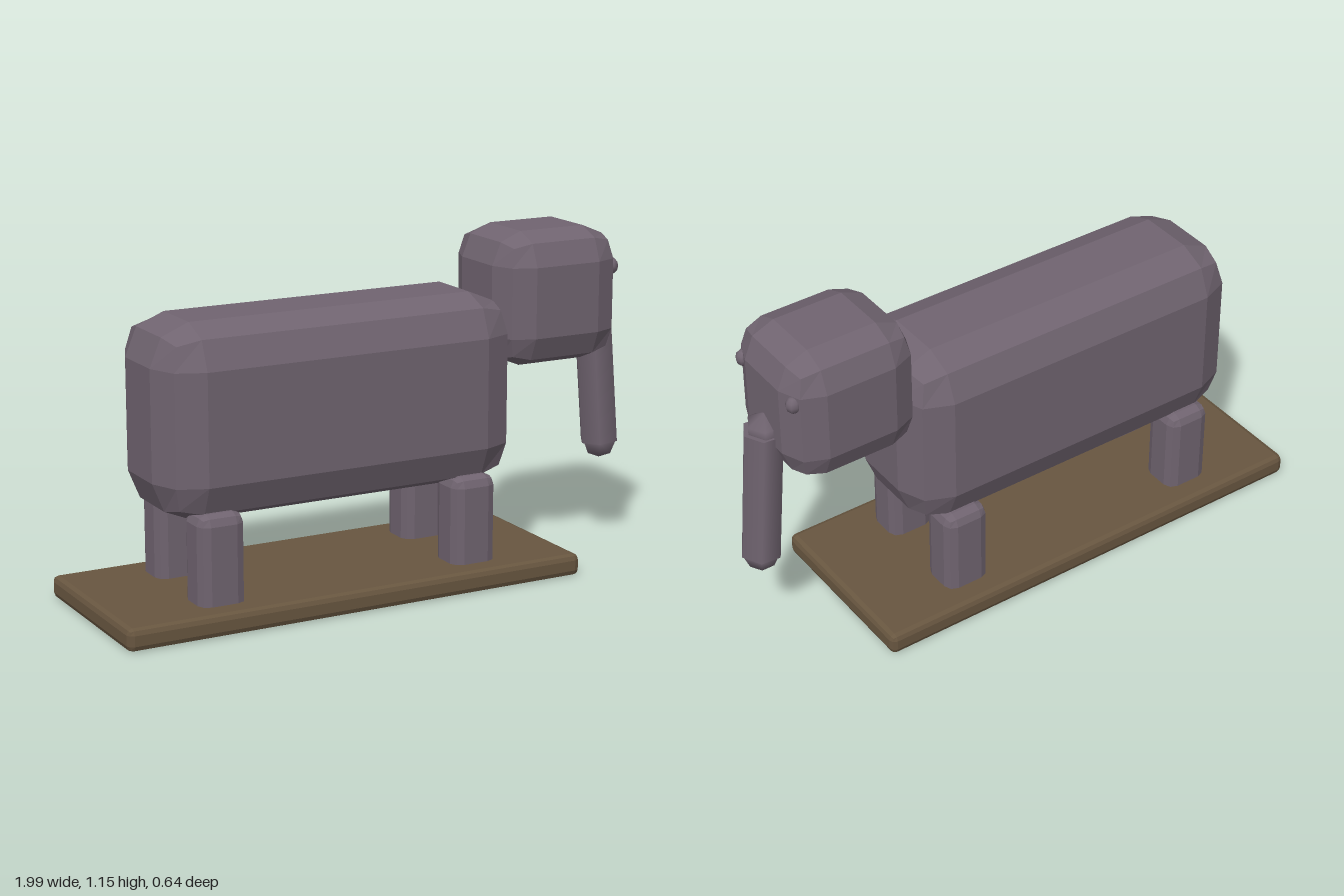
import * as THREE from 'three';
import { RoundedBoxGeometry } from 'three/addons/geometries/RoundedBoxGeometry.js';

export function createModel() {
  const group = new THREE.Group();
  group.name = 'elephantOnPlinth';

  const hide = new THREE.MeshStandardMaterial({ name: 'grey hide', color: 0x706470, flatShading: true });
  const trunkHide = new THREE.MeshStandardMaterial({ name: 'smooth grey hide', color: 0x706470 });
  const wood = new THREE.MeshStandardMaterial({ name: 'brown wood', color: 0x685640, flatShading: true });

  const add = (name, geometry, material, x, y, z) => {
    const mesh = new THREE.Mesh(geometry, material);
    mesh.name = name;
    mesh.position.set(x, y, z);
    group.add(mesh);
    return mesh;
  };

  // Box with two-facet bevels, given by its extents
  const block = (name, material, [x0, x1], [y0, y1], [z0, z1], bevel) =>
    add(name, new RoundedBoxGeometry(x1 - x0, y1 - y0, z1 - z0, 1, bevel), material,
      (x0 + x1) / 2, (y0 + y1) / 2, (z0 + z1) / 2);

  block('base', wood, [-1, 0.645], [0, 0.075], [-0.32, 0.32], 0.02);
  block('body', hide, [-0.815, 0.465], [0.325, 0.965], [-0.23, 0.23], 0.135);
  block('head', hide, [0.42, 0.88], [0.695, 1.15], [-0.205, 0.205], 0.108);

  // Legs and eyes, mirrored across z
  for (const [side, s] of [['Right', -1], ['Left', 1]]) {
    const z = s < 0 ? [-0.238, -0.095] : [0.095, 0.238];
    block('hindLeg' + side, hide, [-0.715, -0.555], [0.003, 0.37], z, 0.035);
    block('frontLeg' + side, hide, [0.205, 0.365], [0.003, 0.37], z, 0.035);
    const eye = add('eye' + side, new THREE.SphereGeometry(0.029, 8, 6), trunkHide, 0.857, 1.012, s * 0.147);
    eye.scale.set(0.9, 1, 0.85);
  }

  // Six-sided trunk, leaning forward, with a faceted ball at each end
  const top = new THREE.Vector3(0.885, 0.835, 0);
  const tip = new THREE.Vector3(0.925, 0.365, 0);
  const axis = top.clone().sub(tip);
  const tube = new THREE.CylinderGeometry(0.07, 0.07, axis.length(), 6);
  tube.rotateY(Math.PI / 2);
  const trunk = add('trunk', tube, trunkHide, (top.x + tip.x) / 2, (top.y + tip.y) / 2, 0);
  trunk.quaternion.setFromUnitVectors(new THREE.Vector3(0, 1, 0), axis.normalize());
  add('trunkRoot', new THREE.SphereGeometry(0.07, 6, 3), trunkHide, 0.878, 0.83, 0);
  add('trunkTip', new THREE.SphereGeometry(0.063, 6, 4), trunkHide, tip.x, tip.y, 0);

  return group;
}
